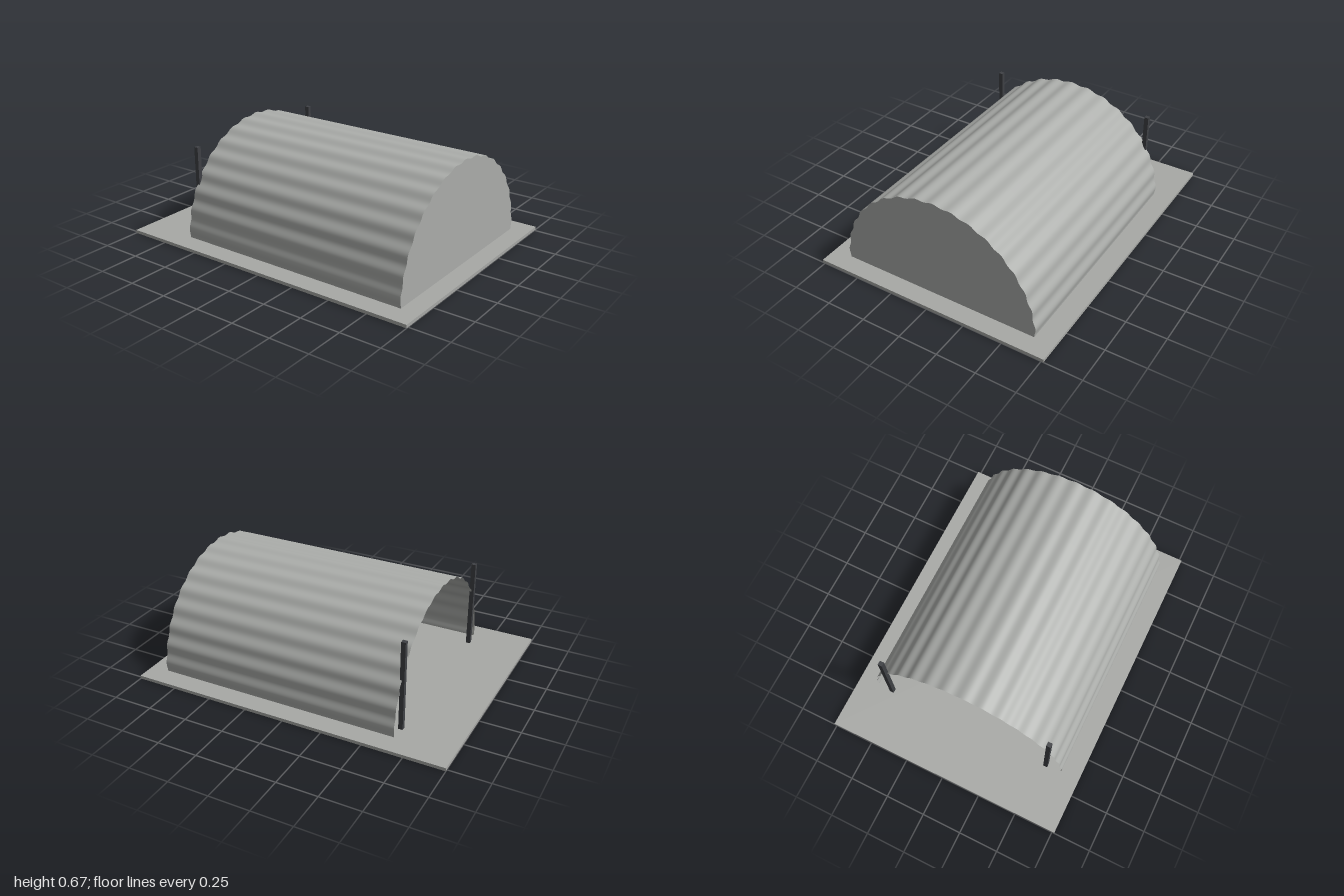
import * as THREE from 'three';

const FLOOR = 0.02, FRONT = 0.885, BACK = -0.645;

// Point on the corrugated arch, t from 0 (+x foot) to 1 (-x foot)
function archPoint(t) {
  const a = Math.PI * t;
  const r = 0.644 + 0.005 * Math.cos(34 * (a - Math.PI / 2));
  return new THREE.Vector2(r * Math.cos(a), FLOOR + r * Math.sin(a));
}

// Smooth corrugated sheet swept from front to back
function shellGeometry(steps) {
  const geo = new THREE.PlaneGeometry(1, 1, steps, 8);
  const pos = geo.attributes.position;
  for (let i = 0; i < pos.count; i++) {
    const p = archPoint(0.5 - pos.getX(i));
    const z = THREE.MathUtils.lerp(FRONT, BACK, pos.getY(i) + 0.5);
    pos.setXYZ(i, p.x, p.y, z);
  }
  geo.computeVertexNormals();
  return geo;
}

export function createModel() {
  const group = new THREE.Group();
  const concrete = new THREE.MeshStandardMaterial({ color: 0xa8a9a6 });
  concrete.name = 'concreteGrey';
  const sheet = new THREE.MeshStandardMaterial({ color: 0xacaeab, side: THREE.DoubleSide });
  sheet.name = 'sheetMetalGrey';
  const steel = new THREE.MeshStandardMaterial({ color: 0x3f4145 });
  steel.name = 'darkSteel';

  const add = (name, geo, mat, x = 0, y = 0, z = 0) => {
    const mesh = new THREE.Mesh(geo, mat);
    mesh.name = name;
    mesh.position.set(x, y, z);
    group.add(mesh);
  };

  // Ground slab
  add('baseSlab', new THREE.BoxGeometry(1.53, FLOOR, 2), concrete, 0, FLOOR / 2, 0);

  // Corrugated vault, open at the back
  const steps = 34 * 8;
  add('corrugatedShell', shellGeometry(steps), sheet);

  // Flat wall closing the front
  const outline = [];
  for (let i = 0; i <= steps; i++) outline.push(archPoint(i / steps));
  add('frontWall', new THREE.ShapeGeometry(new THREE.Shape(outline)), sheet, 0, 0, FRONT);

  // Door posts beside the open end
  const postGeo = new THREE.BoxGeometry(0.027, 0.56, 0.027);
  for (const side of [1, -1]) {
    add(side > 0 ? 'leftPost' : 'rightPost', postGeo, steel, side * 0.541, FLOOR + 0.28, -0.645);
  }
  return group;
}
